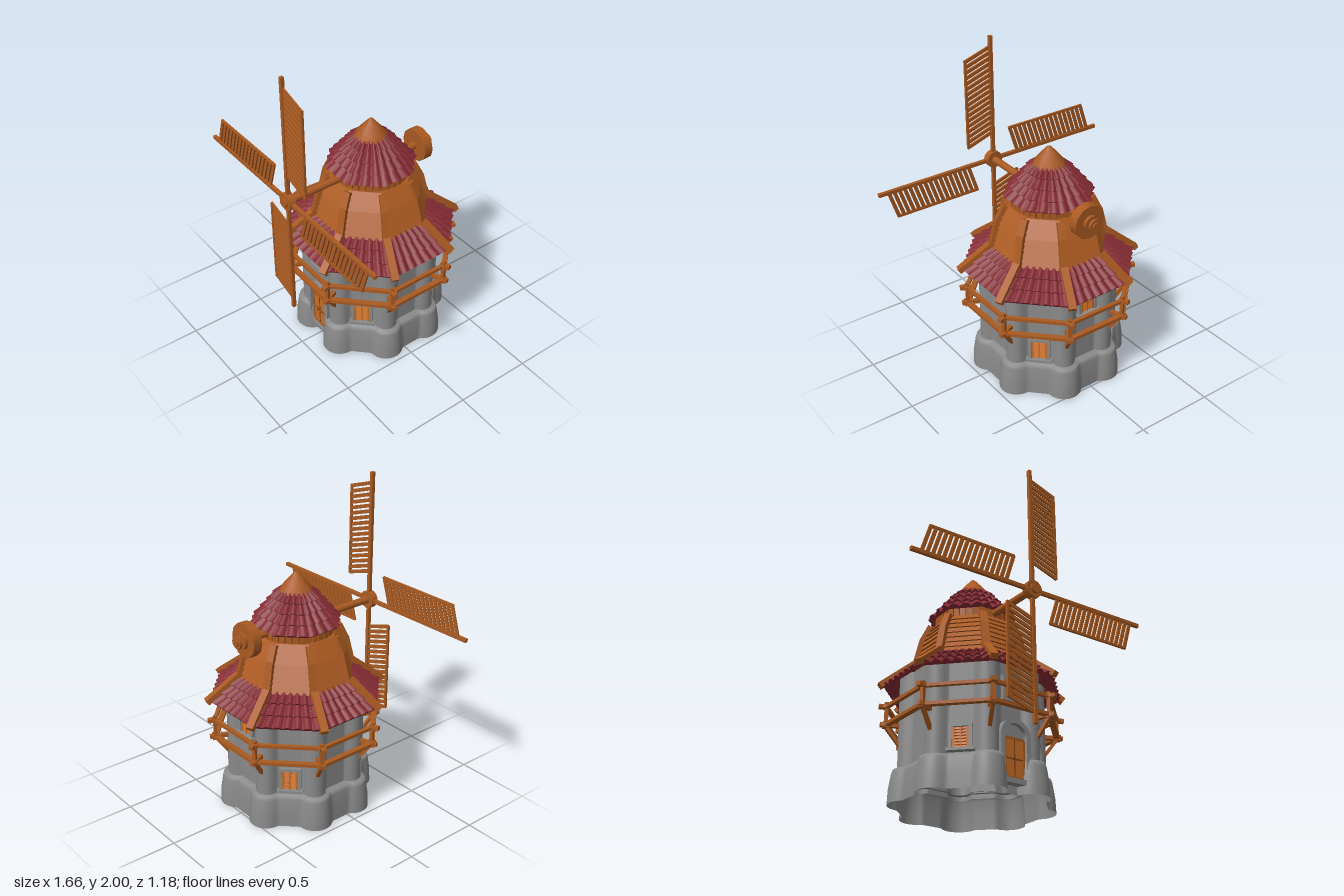
import * as THREE from 'three';

const mat = (name, color) => {
  const m = new THREE.MeshStandardMaterial({ color });
  m.name = name;
  return m;
};
const CZ = -0.053;            // tower axis
const SIDE = Math.PI / 4;     // one octagon side
const K = 1 / Math.cos(Math.PI / 8); // apothem to corner radius

export function createModel() {
  const wood = mat('wood', 0xaa5a21);
  const shutterWood = mat('brightWood', 0xc86d24);
  const darkWood = mat('darkWood', 0x7c4219);
  const stone = mat('stone', 0x898a89);
  const tile = mat('roofTile', 0x842b33);
  stone.side = tile.side = THREE.DoubleSide;

  const model = new THREE.Group();
  model.name = 'windmill';
  const group = (name, parent) => {
    const g = new THREE.Group();
    g.name = name;
    parent.add(g);
    return g;
  };
  const add = (parent, name, geo, material, x = 0, y = 0, z = 0) => {
    const m = new THREE.Mesh(geo, material);
    m.name = name;
    m.position.set(x, y, z);
    parent.add(m);
    return m;
  };
  const box = (parent, name, material, w, h, d, x, y, z) =>
    add(parent, name, new THREE.BoxGeometry(w, h, d), material, x, y, z);
  // Beam in the local yz plane, from (z0,y0) to (z1,y1)
  const beam = (parent, name, w, d, z0, y0, z1, y1) => {
    const m = box(parent, name, wood, w, Math.hypot(z1 - z0, y1 - y0), d, 0, (y0 + y1) / 2, (z0 + z1) / 2);
    m.rotation.x = Math.atan2(z1 - z0, y1 - y0);
  };
  // Flat-sided octagonal frustum given by apothems
  const octagon = (parent, name, material, a0, y0, a1, y1) => {
    const g = new THREE.CylinderGeometry(a1 * K, a0 * K, y1 - y0, 8, 1, false, Math.PI / 8).toNonIndexed();
    g.computeVertexNormals();
    add(parent, name, g, material, 0, (y0 + y1) / 2, 0);
  };
  // Rod along z
  const rod = (parent, name, r, z0, z1, sides = 16) => {
    const m = add(parent, name, new THREE.CylinderGeometry(r, r, z1 - z0, sides), wood, 0, 0, (z0 + z1) / 2);
    m.rotation.x = Math.PI / 2;
  };
  const meshFrom = (pos, idx) => {
    const g = new THREE.BufferGeometry();
    g.setAttribute('position', new THREE.Float32BufferAttribute(pos, 3));
    g.setIndex(idx);
    g.computeVertexNormals();
    return g;
  };
  const strip = (idx, n, lo, hi) => {
    for (let i = 0; i < n; i++)
      idx.push(lo + i, lo + i + 1, hi + i + 1, lo + i, hi + i + 1, hi + i);
  };

  const tower = group('tower', model);
  tower.position.z = CZ;

  // Stone shell: flat sides joined by round corner pillars.
  // Each ring is [height, pillar distance, pillar radius, side apothem, door side apothem]
  function stoneShell(name, rings) {
    const n = 8 * 28, pos = [], idx = [];
    rings.forEach(([y, c, rho, side, front], j) => {
      for (let i = 0; i <= n; i++) {
        const th = i / n * Math.PI * 2, s = Math.floor(th / SIDE);
        const phi = th - (s + 0.5) * SIDE;
        const a = Math.round(th / SIDE) % 8 === 0 ? front : side;
        const q = rho * rho - (c * Math.sin(phi)) ** 2;
        const flat = a / Math.cos(SIDE / 2 - Math.abs(phi));
        const r = Math.max(flat, q > 0 ? c * Math.cos(phi) + Math.sqrt(q) : 0);
        pos.push(r * Math.sin(th), y, r * Math.cos(th));
      }
      if (j) strip(idx, n, (j - 1) * (n + 1), j * (n + 1));
    });
    add(tower, name, meshFrom(pos, idx), stone);
  }
  stoneShell('wall', [[0.18, 0.375, 0.07, 0.375, 0.375], [0.8, 0.375, 0.07, 0.375, 0.375]]);
  stoneShell('footing', [
    [0, 0.39, 0.108, 0.432, 0.376], [0.09, 0.39, 0.104, 0.43, 0.376], [0.18, 0.385, 0.095, 0.422, 0.376],
    [0.205, 0.385, 0.088, 0.412, 0.376], [0.212, 0.36, 0.06, 0.36, 0.36]]);

  for (let i = 0; i < 8; i++) {
    const corner = group('corner', tower);
    corner.rotation.y = (i + 0.5) * SIDE;

    // Ribs over the skirt roof and the timber cap
    beam(corner, 'eaveRib', 0.046, 0.035, 0.567, 0.722, 0.365, 0.88);
    beam(corner, 'capRib', 0.046, 0.03, 0.362, 0.865, 0.318, 1.05);
    beam(corner, 'capRibTop', 0.046, 0.03, 0.32, 1.04, 0.272, 1.14);

    // Balcony supports
    box(corner, 'railPost', wood, 0.022, 0.16, 0.022, 0, 0.54, 0.52);
    box(corner, 'railKnot', wood, 0.04, 0.035, 0.04, 0, 0.478, 0.52);
    beam(corner, 'railPeg', 0.03, 0.024, 0.5, 0.592, 0.565, 0.592);
    beam(corner, 'joist', 0.026, 0.024, 0.43, 0.478, 0.555, 0.478);
    beam(corner, 'strut', 0.022, 0.02, 0.435, 0.355, 0.52, 0.47);

    // Balcony rails and windows along each side
    const side = group('side', tower);
    side.rotation.y = i * SIDE;
    box(side, 'upperRail', wood, 0.45, 0.02, 0.024, 0, 0.592, 0.482);
    box(side, 'lowerRail', wood, 0.45, 0.02, 0.034, 0, 0.478, 0.482);
    if (i % 2) addWindow(side, 0.305);
    if (i % 4 === 0) addWindow(side, 0.615);
  }

  // Stone-framed window with louvred shutter
  function addWindow(parent, y) {
    const w = group('window', parent);
    w.position.set(0, y, 0.379);
    for (const s of [-1, 1]) {
      box(w, 'windowJamb', stone, 0.018, 0.15, 0.03, s * 0.058, 0, 0.006);
      box(w, 'shutterStile', shutterWood, 0.014, 0.128, 0.016, s * 0.042, 0, 0.006);
    }
    box(w, 'windowLintel', stone, 0.135, 0.018, 0.03, 0, 0.072, 0.006);
    box(w, 'windowSill', stone, 0.16, 0.016, 0.045, 0, -0.073, 0.012);
    box(w, 'shutterBack', darkWood, 0.098, 0.128, 0.006, 0, 0, 0.001);
    box(w, 'shutterMiddle', shutterWood, 0.01, 0.128, 0.015, 0, 0, 0.006);
    for (let k = 0; k < 7; k++) {
      const l = box(w, 'louvre', shutterWood, 0.09, 0.014, 0.005, 0, -0.054 + k * 0.018, 0.008);
      l.rotation.x = -0.4;
    }
  }

  // Arched doorway
  const door = group('door', tower);
  door.position.z = 0.37;
  const archShape = (path, r, bottom, spring) => {
    path.moveTo(-r, bottom);
    path.lineTo(r, bottom);
    path.lineTo(r, spring);
    path.absarc(0, spring, r, 0, Math.PI, false);
    path.lineTo(-r, bottom);
    return path;
  };
  const arch = archShape(new THREE.Shape(), 0.104, 0.05, 0.325);
  arch.holes.push(archShape(new THREE.Path(), 0.075, 0.08, 0.325));
  const extrude = (shape, depth) => new THREE.ExtrudeGeometry(shape, { depth, bevelEnabled: false, curveSegments: 16 });
  add(door, 'doorFrame', extrude(arch, 0.055), stone);
  add(door, 'archInfill', extrude(archShape(new THREE.Shape(), 0.08, 0.06, 0.325), 0.025), stone);
  box(door, 'doorPanel', shutterWood, 0.14, 0.24, 0.012, 0, 0.2, 0.03);
  box(door, 'doorSeam', darkWood, 0.006, 0.24, 0.004, 0, 0.2, 0.037);
  box(door, 'doorBar', darkWood, 0.14, 0.007, 0.004, 0, 0.195, 0.037);
  for (const s of [-1, 1]) {
    box(door, 'doorStile', wood, 0.012, 0.24, 0.008, s * 0.064, 0.2, 0.037);
    box(door, 'doorRail', wood, 0.14, 0.012, 0.008, 0, 0.2 + s * 0.114, 0.037);
    add(door, 'doorKnob', new THREE.SphereGeometry(0.008, 10, 8), darkWood, s * 0.014, 0.195, 0.042);
  }

  // Overlapping rows of rounded tiles on an octagonal slope
  function tileRoof(name, rows, cols, a0, y0, a1, y1) {
    const STEP = 8, n = 8 * cols * STEP, pos = [], idx = [];
    const len = Math.hypot(a0 - a1, y1 - y0), na = (y1 - y0) / len, ny = (a0 - a1) / len;
    const ring = (f, lift, bump) => {
      const start = pos.length / 3;
      for (let i = 0; i <= n; i++) {
        const u = i / (cols * STEP), s = Math.floor(u), t = u - s;
        const A = (s - 0.5) * SIDE, B = A + SIDE;
        const px = K * (Math.sin(A) * (1 - t) + Math.sin(B) * t);
        const pz = K * (Math.cos(A) * (1 - t) + Math.cos(B) * t);
        const h = lift + bump * Math.abs(Math.sin(Math.PI * i / STEP));
        const a = a0 + (a1 - a0) * f + na * h;
        pos.push(px * a, y0 + (y1 - y0) * f + ny * h, pz * a);
      }
      return start;
    };
    for (let r = 0; r < rows; r++) {
      const f0 = r / rows, f1 = Math.min((r + 1.1) / rows, 1);
      strip(idx, n, ring(f0, -0.006, 0), ring(f0, 0.008, 0.02));
      strip(idx, n, ring(f0, 0.008, 0.02), ring(f1, -0.002, 0.014));
    }
    add(tower, name, meshFrom(pos, idx), tile);
  }
  tileRoof('skirtRoof', 3, 7, 0.495, 0.715, 0.325, 0.865);

  // Timber cap of lapped planks
  const PLANKS = 8;
  const capApothem = t => t < 0.65 ? 0.331 - 0.07 * t : 0.2855 - 0.13 * (t - 0.65);
  for (let i = 0; i < PLANKS; i++) {
    const t0 = i / PLANKS, t1 = (i + 1) / PLANKS;
    octagon(tower, 'plank', wood, capApothem(t0) + 0.011, 0.86 + 0.28 * t0, capApothem(t1) - 0.003, 0.86 + 0.28 * t1);
  }

  // Drum of upright boards under the top roof
  add(tower, 'drum', new THREE.CylinderGeometry(0.225, 0.225, 0.09, 32), darkWood, 0, 1.165, 0);
  for (let i = 0; i < 36; i++) {
    const a = i * Math.PI / 18;
    const b = box(tower, 'drumBoard', wood, 0.034, 0.075, 0.014, 0.227 * Math.sin(a), 1.165, 0.227 * Math.cos(a));
    b.rotation.y = a;
  }

  // Top roof and finial
  tileRoof('topRoof', 4, 3, 0.246, 1.19, 0.085, 1.395);
  const finial = [[0, 1.375], [0.1, 1.38], [0.108, 1.39], [0.06, 1.448], [0.014, 1.5], [0, 1.507]]
    .map(p => new THREE.Vector2(...p));
  add(tower, 'finial', new THREE.LatheGeometry(finial, 8, Math.PI / 8), wood);

  // Shaft with hub in front and brake wheel behind
  const shaft = group('shaft', model);
  shaft.position.y = 1.172;
  rod(shaft, 'axle', 0.023, -0.51, 0.58);
  rod(shaft, 'hub', 0.056, 0.525, 0.57, 12);
  rod(shaft, 'hubCap', 0.03, 0.56, 0.585, 12);
  rod(shaft, 'brakeWheel', 0.108, -0.45, -0.392, 12);
  rod(shaft, 'wheelCollar', 0.05, -0.47, -0.44, 12);
  rod(shaft, 'endCollar', 0.04, -0.5, -0.483, 12);

  // Four slatted sails
  const SLATS = 17, WIDTH = 0.187, DROP = 0.06;
  for (let i = 0; i < 4; i++) {
    const sail = group('sail', shaft);
    sail.position.z = 0.547;
    sail.rotation.z = i * Math.PI / 2;
    box(sail, 'spar', wood, 0.022, 0.828, 0.022, 0, 0.414, 0);
    box(sail, 'sailEdge', wood, 0.014, 0.585, 0.014, WIDTH - 0.004, 0.418, 0);
    for (let k = 0; k < SLATS; k++) {
      const s = box(sail, 'slat', wood, Math.hypot(WIDTH, DROP), 0.022, 0.01,
        WIDTH / 2, 0.19 + 0.57 * k / (SLATS - 1) - DROP / 2, 0);
      s.rotation.z = -Math.atan2(DROP, WIDTH);
    }
  }
  return model;
}
